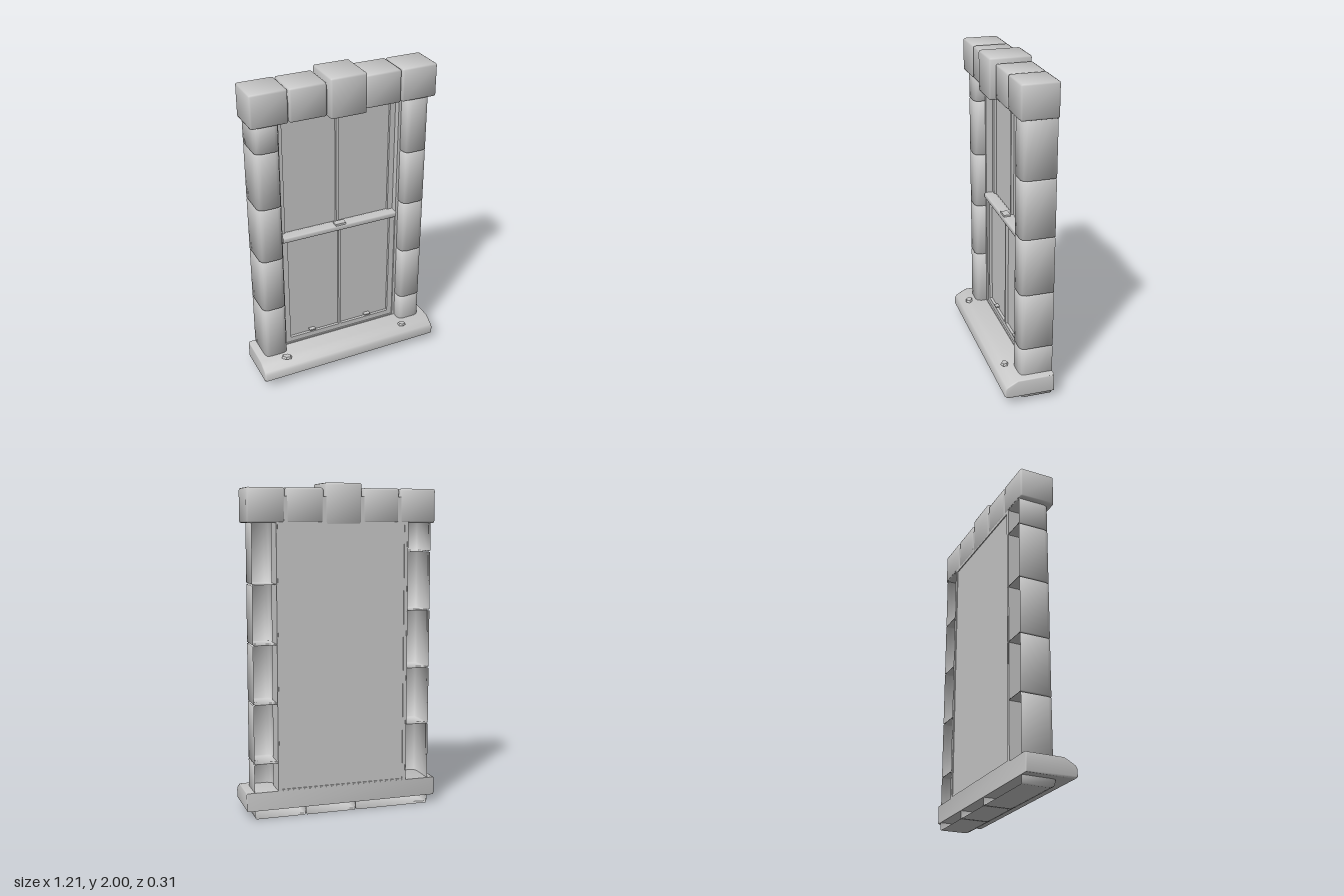
import * as THREE from 'three';
import { mergeVertices, toCreasedNormals } from 'three/addons/utils/BufferGeometryUtils.js';

export function createModel() {
  const model = new THREE.Group();
  model.name = 'stoneWindow';
  const grey = new THREE.MeshStandardMaterial({ color: 0xc8c8c8, side: THREE.DoubleSide });
  grey.name = 'stoneGrey';

  const add = (name, geometry, x = 0, y = 0, z = 0) => {
    const mesh = new THREE.Mesh(geometry, grey);
    mesh.name = name;
    mesh.position.set(x, y, z);
    model.add(mesh);
    return mesh;
  };

  // Box given by its limits
  const box = (name, x0, x1, y0, y1, z0, z1) =>
    add(name, new THREE.BoxGeometry(x1 - x0, y1 - y0, z1 - z0), (x0 + x1) / 2, (y0 + y1) / 2, (z0 + z1) / 2);

  // Stone block with rounded edges (radius per axis) and swelling normals; may be hollow with an open back
  const stone = (name, x0, x1, y0, y1, z0, z1, { round = [0.012, 0.012, 0.012], soft = 0.4, open = false } = {}) => {
    const half = new THREE.Vector3(x1 - x0, y1 - y0, z1 - z0).multiplyScalar(0.5);
    const radius = new THREE.Vector3(...round);
    const coreHalf = half.clone().sub(radius);
    let geo = new THREE.BoxGeometry(2, 2, 2, 3, 3, 3);
    if (open) geo.setIndex(Array.from(geo.index.array).slice(0, geo.groups[5].start));
    geo.clearGroups();
    geo.deleteAttribute('normal');
    geo.deleteAttribute('uv');
    const pos = geo.attributes.position;
    const p = new THREE.Vector3(), core = new THREE.Vector3(), out = new THREE.Vector3();
    for (let i = 0; i < pos.count; i++) {
      p.fromBufferAttribute(pos, i);
      const flatBack = open && p.z < -0.9;
      core.set(Math.sign(p.x), Math.sign(p.y), Math.sign(p.z)).multiply(coreHalf);
      out.set(...p.toArray().map((v) => (Math.abs(v) > 0.9 ? Math.sign(v) : 0)));
      if (flatBack) out.z = 0;
      p.copy(core).add(out.normalize().multiply(radius));
      if (flatBack) p.z = -half.z;
      pos.setXYZ(i, p.x, p.y, p.z);
    }
    geo = mergeVertices(geo, 1e-5);
    geo.computeVertexNormals();
    const nor = geo.attributes.normal;
    for (let i = 0; i < nor.count; i++) {
      p.fromBufferAttribute(geo.attributes.position, i).divide(half).multiplyScalar(soft);
      out.fromBufferAttribute(nor, i).add(p).normalize();
      nor.setXYZ(i, out.x, out.y, out.z);
    }
    return add(name, geo, (x0 + x1) / 2, (y0 + y1) / 2, (z0 + z1) / 2);
  };

  const BACK = -0.155;

  // Head stones with a taller, deeper keystone
  for (const s of [-1, 1]) {
    stone('outerHeadStone', s * 0.472 - 0.114, s * 0.472 + 0.114, 1.765, 1.97, BACK, 0.069);
    stone('innerHeadStone', s * 0.237 - 0.114, s * 0.237 + 0.114, 1.765, 1.97, BACK, 0.069);
  }
  stone('keystone', -0.114, 0.114, 1.754, 2, BACK, 0.102);
  box('lintelCore', -0.47, 0.47, 1.77, 1.92, -0.153, 0.045);

  // Side columns: staggered hollow blocks, open at the back, rounded along their upright edges
  const column = (name, x0, x1, joints) => {
    for (let i = 0; i < joints.length - 1; i++) {
      stone(name, x0, x1, joints[i] + 0.001, joints[i + 1] - 0.001, BACK, 0.048,
        { open: true, soft: 0.7, round: [0.033, 0.004, 0.033] });
    }
  };
  column('leftColumnStone', 0.405, 0.557, [0.06, 0.337, 0.697, 1.052, 1.408, 1.775]);
  column('rightColumnStone', -0.557, -0.405, [0.12, 0.517, 0.873, 1.232, 1.593, 1.775]);

  // Base course under the sill, rounded along its front
  const baseJoints = [-0.557, -0.08, 0.24, 0.557];
  for (let i = 0; i < 3; i++) {
    stone('baseStone', baseJoints[i] + 0.001, baseJoints[i + 1] - 0.001, 0, 0.15, BACK, 0.048,
      { open: true, soft: 0.7, round: [0.006, 0.033, 0.033] });
  }

  // Sill with a sloped front lip
  const profile = new THREE.Shape([
    [-0.155, 0.05], [0.138, 0.05], [0.156, 0.062], [0.156, 0.108],
    [0.145, 0.125], [0.108, 0.147], [0.075, 0.163], [-0.155, 0.163],
  ].map(([z, y]) => new THREE.Vector2(z, y)));
  const sill = new THREE.ExtrudeGeometry(profile, {
    depth: 1.196, bevelEnabled: true, bevelThickness: 0.008, bevelSize: 0.008, bevelOffset: -0.008, bevelSegments: 2,
  });
  sill.translate(0, 0, -0.598).rotateY(-Math.PI / 2);
  add('sill', toCreasedNormals(sill, 0.9));

  // Rectangular frame with rectangular openings, each given as [x0, x1, y0, y1]
  const trace = (path, [x0, x1, y0, y1]) =>
    path.moveTo(x0, y0).lineTo(x1, y0).lineTo(x1, y1).lineTo(x0, y1).closePath();
  const frame = (name, outer, holes, z0, z1) => {
    const shape = new THREE.Shape();
    trace(shape, outer);
    for (const h of holes) {
      const hole = new THREE.Path();
      trace(hole, h);
      shape.holes.push(hole);
    }
    add(name, new THREE.ExtrudeGeometry(shape, { depth: z1 - z0, bevelEnabled: false }), 0, 0, z0);
  };

  // Window casing, sashes and panes
  box('upperPane', -0.4, 0.4, 0.16, 1.765, -0.148, -0.082);
  frame('casing', [-0.412, 0.412, 0.155, 1.772], [[-0.388, 0.388, 0.171, 1.753]], -0.154, -0.022);
  frame('upperSash', [-0.389, 0.389, 0.95, 1.754],
    [[-0.353, -0.008, 0.975, 1.718], [0.008, 0.353, 0.975, 1.718]], -0.085, -0.065);
  box('lowerPane', -0.389, 0.389, 0.17, 0.955, -0.085, -0.049);
  frame('lowerSash', [-0.389, 0.389, 0.17, 0.955],
    [[-0.353, -0.008, 0.204, 0.942], [0.008, 0.353, 0.204, 0.942]], -0.051, -0.031);

  // Meeting rail with rounded edges, latch and lifting handles
  stone('meetingRail', -0.388, 0.388, 0.942, 0.979, -0.08, -0.008, { round: [0.002, 0.01, 0.01], soft: 0 });
  box('latch', -0.035, 0.035, 0.97, 0.99, -0.055, -0.012);
  for (const s of [-1, 1]) box('handle', s * 0.2 - 0.02, s * 0.2 + 0.02, 0.218, 0.226, -0.05, -0.022);

  // Pebbles lying on the sill
  for (const [x, z, w, turn] of [[-0.435, 0.095, 0.036, 0.5], [0.4, 0.098, 0.028, 0.1]]) {
    const pebble = add('pebble', new THREE.CylinderGeometry(0.75, 1, 1, 6).toNonIndexed(), x, 0.165, z);
    pebble.geometry.computeVertexNormals();
    pebble.scale.set(w, 0.014, 0.025);
    pebble.rotation.y = -turn;
  }

  return model;
}
